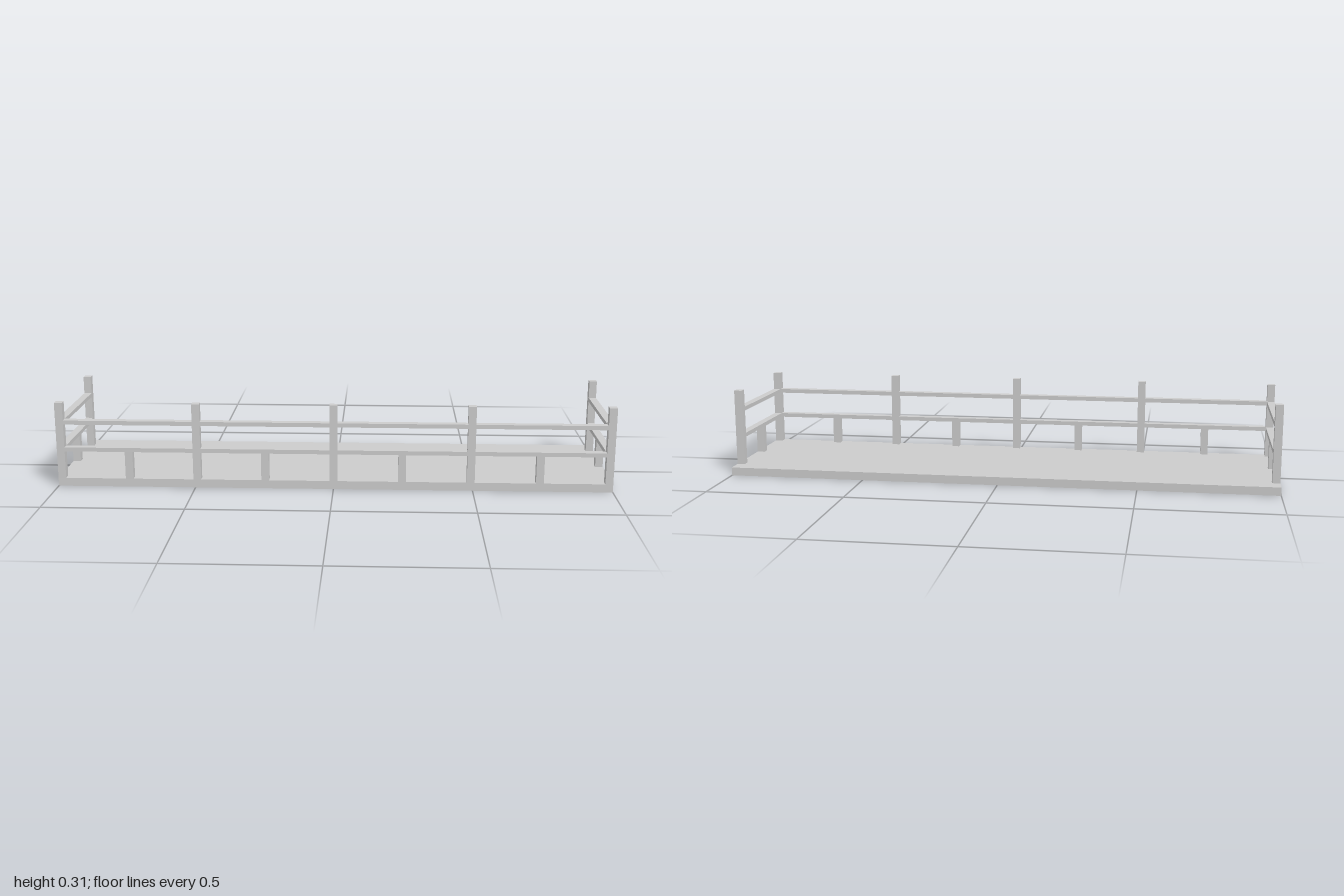
import * as THREE from 'three';

const T = 0.028;            // timber thickness
const DECK = 0.03;          // deck thickness
const TOP = 0.31;           // post top
const RAILS = [[0.13, 0.145], [0.23, 0.245]];
const X = 1 - T / 2;        // side railing centre line
const ZF = 0.256 - T / 2;   // front railing centre line
const ZB = -0.184;          // rear end of the side railings

export function createModel() {
  const model = new THREE.Group();
  const material = new THREE.MeshStandardMaterial({ color: 0xcccccc, flatShading: true });

  // box given by its footprint and vertical extent
  const beam = (name, w, d, y0, y1, x, z) => {
    const mesh = new THREE.Mesh(new THREE.BoxGeometry(w, y1 - y0, d), material);
    mesh.name = name;
    mesh.position.set(x, (y0 + y1) / 2, z);
    model.add(mesh);
  };

  beam('deck', 2, 0.512, 0, DECK, 0, 0);

  // front railing: five posts, four bays of rails with a short strut each
  const bay = X / 2;
  for (let i = 0; i < 5; i++) beam('frontPost', T, T, DECK, TOP, -X + i * bay, ZF);
  for (let i = 0; i < 4; i++) {
    const x = -X + (i + 0.5) * bay;
    beam('frontStrut', T, T, DECK, RAILS[0][0], x, ZF);
    for (const [y0, y1] of RAILS) beam('frontRail', bay - T, T, y0, y1, x, ZF);
  }

  // side railings, mirrored
  const zMid = (ZF + ZB) / 2;
  for (const s of [-1, 1]) {
    beam('rearPost', T, T, DECK, TOP, s * X, ZB);
    beam('sideStrut', T, T, DECK, RAILS[0][0], s * X, zMid);
    for (const [y0, y1] of RAILS) beam('sideRail', T, ZF - ZB - T, y0, y1, s * X, zMid);
  }
  return model;
}
